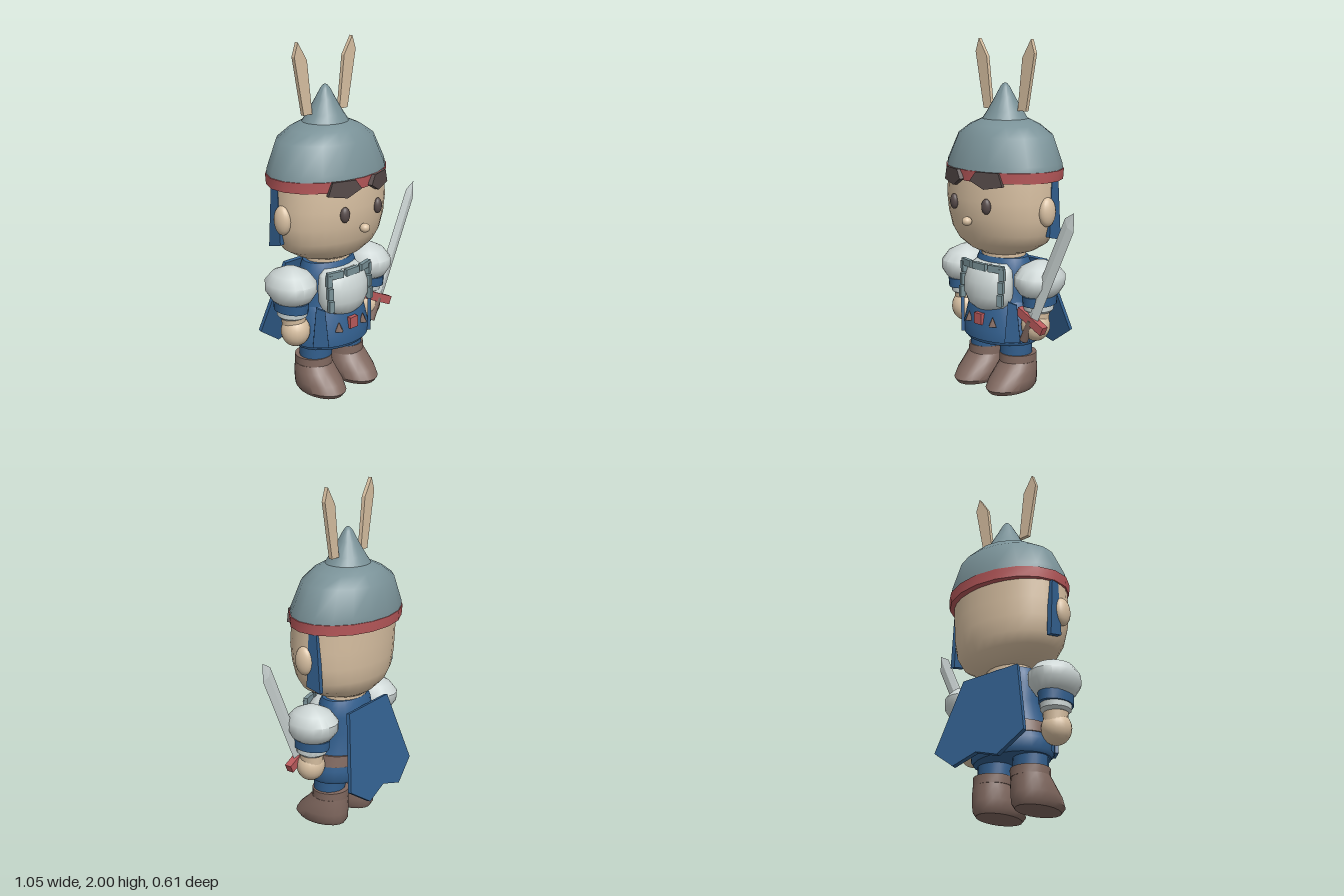
import * as THREE from 'three';
import { toCreasedNormals } from 'three/addons/utils/BufferGeometryUtils.js';

const material = (name, color) => {
  const m = new THREE.MeshStandardMaterial({ color });
  m.name = name;
  return m;
};

export function createModel() {
  const skin = material('skin', 0xd8c0a2);
  const steel = material('steel', 0x7a9298);
  const pale = material('pale metal', 0xccd5d4);
  const blue = material('blue cloth', 0x325f8e);
  const brown = material('brown leather', 0x80685f);
  const dark = material('dark brown', 0x574b4a);
  const red = material('red trim', 0xb9595b);

  const model = new THREE.Group();
  model.name = 'littleKnight';
  const body = new THREE.Group();
  body.name = 'body';
  body.position.x = -0.1;
  model.add(body);

  function add(name, geometry, mat, x = 0, y = 0, z = 0) {
    const mesh = new THREE.Mesh(geometry, mat);
    mesh.name = name;
    mesh.position.set(x, y, z);
    body.add(mesh);
    return mesh;
  }

  // Closed loft through oval rings: [y, half width, front z, back z]
  function loft(rings, sides = 20) {
    const pos = [], index = [], n = rings.length;
    for (const [y, rx, zf, zb] of rings) {
      for (let j = 0; j < sides; j++) {
        const a = (j / sides) * Math.PI * 2;
        pos.push(rx * Math.sin(a), y, (zf + zb) / 2 + ((zf - zb) / 2) * Math.cos(a));
      }
    }
    for (let i = 0; i < n - 1; i++) {
      for (let j = 0; j < sides; j++) {
        const a = i * sides + j, b = i * sides + ((j + 1) % sides);
        index.push(a, b, b + sides, a, b + sides, a + sides);
      }
    }
    const low = pos.length / 3, last = (n - 1) * sides;
    for (const r of [rings[0], rings[n - 1]]) pos.push(0, r[0], (r[2] + r[3]) / 2);
    for (let j = 0; j < sides; j++) {
      const k = (j + 1) % sides;
      index.push(low, k, j, low + 1, last + j, last + k);
    }
    const g = new THREE.BufferGeometry();
    g.setAttribute('position', new THREE.Float32BufferAttribute(pos, 3));
    g.setIndex(index);
    return toCreasedNormals(g, 0.75);
  }

  // Flat plate from an outline, centred on its thickness
  function plate(points, depth) {
    const shape = new THREE.Shape(points.map(([x, y]) => new THREE.Vector2(x, y)));
    return new THREE.ExtrudeGeometry(shape, { depth, bevelEnabled: false }).translate(0, 0, -depth / 2);
  }

  const ball = (rx, ry, rz) => new THREE.SphereGeometry(1, 20, 14).scale(rx, ry, rz);
  const box = (w, h, d) => new THREE.BoxGeometry(w, h, d);

  // Head
  add('head', loft([
    [0.795, 0.14, 0.11, -0.14], [0.82, 0.215, 0.155, -0.175], [0.868, 0.297, 0.2, -0.22],
    [0.93, 0.335, 0.23, -0.245], [1.02, 0.355, 0.25, -0.257], [1.12, 0.36, 0.262, -0.263],
    [1.26, 0.36, 0.25, -0.268],
  ], 28), skin);
  add('neck', loft([[0.74, 0.14, 0.1, -0.13], [0.81, 0.14, 0.1, -0.13]]), skin);
  add('nose', ball(0.029, 0.026, 0.028), skin, 0, 1.005, 0.275);

  // Helmet with peak and headband
  add('helmet', loft([
    [1.28, 0.374, 0.266, -0.305], [1.32, 0.368, 0.258, -0.302], [1.47, 0.3, 0.206, -0.268],
    [1.525, 0.215, 0.155, -0.215], [1.557, 0.14, 0.1, -0.16],
  ], 18), steel);
  add('helmetPeak', loft([
    [1.55, 0.14, 0.1, -0.161], [1.6, 0.105, 0.07, -0.13], [1.68, 0.058, 0.025, -0.085],
    [1.735, 0.028, -0.004, -0.056], [1.752, 0.014, -0.017, -0.043], [1.757, 0.003, -0.027, -0.033],
  ]), steel);
  add('headband', loft([[1.23, 0.374, 0.266, -0.305], [1.29, 0.379, 0.27, -0.309]], 18), red);

  // Tunic, belt and front apron
  add('tunic', loft([
    [0.28, 0.23, 0.175, -0.17], [0.3, 0.242, 0.185, -0.182], [0.36, 0.24, 0.186, -0.184],
    [0.46, 0.21, 0.165, -0.175], [0.58, 0.185, 0.14, -0.16], [0.68, 0.19, 0.13, -0.155],
    [0.74, 0.18, 0.115, -0.145], [0.775, 0.165, 0.1, -0.13],
  ], 24), blue);
  add('belt', loft([[0.39, 0.237, 0.17, -0.188], [0.455, 0.223, 0.165, -0.185]], 24), brown);
  const apronProfile = [[0.248, 0.3], [0.25, 0.36], [0.215, 0.5], [0.19, 0.53]]
    .map(([r, y]) => new THREE.Vector2(r, y));
  const apronBlue = blue.clone();
  apronBlue.name = 'blue apron cloth';
  apronBlue.side = THREE.DoubleSide;
  add('apron', new THREE.LatheGeometry(apronProfile, 16, -1.45, 2.9).scale(1, 1, 0.77), apronBlue);
  add('buckle', box(0.06, 0.065, 0.03), red, 0, 0.425, 0.183);
  for (const s of [-1, 1]) {
    add('beltPouch', new THREE.ConeGeometry(0.03, 0.055, 4), brown, s * 0.096, 0.42, 0.172);
    const tasset = add('tasset', plate([[-0.04, -0.12], [0.05, -0.12], [0.03, 0.1], [-0.02, 0.12]], 0.02), blue, s * 0.2, 0.43, 0.125);
    tasset.rotation.y = s * 0.75;
  }

  // Breastplate and its segmented trim
  add('breastplate', loft([
    [0.475, 0.1, 0.17, 0], [0.5, 0.145, 0.195, 0], [0.56, 0.168, 0.215, 0], [0.64, 0.17, 0.212, 0],
    [0.71, 0.155, 0.185, 0], [0.745, 0.12, 0.15, 0],
  ]), pale);
  for (const s of [-1, 1]) {
    for (let i = 0; i < 3; i++) {
      const strip = add('sideTrim', box(0.03, 0.066, 0.03), steel, s * 0.155, 0.555 + i * 0.073, 0.17 - i * 0.008);
      strip.rotation.y = s * 0.35;
    }
  }
  for (const i of [-1, 0, 1]) {
    const strip = add('topTrim', box(0.1, 0.04, 0.025), steel, i * 0.118, 0.73, 0.177 - Math.abs(i) * 0.015);
    strip.rotation.y = i * 0.25;
  }

  for (const s of [-1, 1]) {
    const side = s < 0 ? 'right' : 'left';

    // Face
    add(side + 'Eye', ball(0.028, 0.044, 0.022), dark, s * 0.128, 1.1, 0.25).rotation.y = s * 0.25;
    add(side + 'Ear', ball(0.04, 0.083, 0.056), skin, s * 0.357, 1.067, 0.005);
    const brow = add(side + 'Brow', plate([
      [0.1, 1.215], [0.075, 1.29], [-0.063, 1.29], [-0.1, 1.24], [-0.015, 1.195],
    ].map(([x, y]) => [x * s, y]), 0.025), dark, s * 0.13, 0, 0.247);
    brow.rotation.y = s * 0.32;

    // Helmet ribbon and feather
    const ribbon = add(side + 'Ribbon', plate([[0.03, 1.25], [0.08, 1.26], [0.105, 0.895], [0.012, 0.92]], 0.028), blue, s * 0.347);
    ribbon.rotation.y = Math.PI / 2;
    add(side + 'Feather', plate([
      [0.104, 1.605], [0.167, 1.605], [0.23, 1.925], [0.204, 2], [0.14, 1.9],
    ].map(([x, y]) => [x * s, y]), 0.022), skin, 0, 0, -0.034);

    // Arm
    add(side + 'ShoulderPuff', loft([
      [0.575, 0.075, 0.085, -0.085], [0.6, 0.105, 0.125, -0.12], [0.65, 0.135, 0.157, -0.157],
      [0.7, 0.134, 0.155, -0.16], [0.75, 0.1, 0.11, -0.115], [0.785, 0.03, 0.035, -0.035],
    ]), pale, s * 0.299);
    add(side + 'ArmBand', loft([[0.535, 0.082, 0.115, -0.11], [0.59, 0.084, 0.12, -0.115]]), blue, s * 0.303);
    add(side + 'Cuff', loft([
      [0.49, 0.065, 0.07, -0.065], [0.505, 0.08, 0.095, -0.085], [0.54, 0.08, 0.1, -0.09],
    ]), pale, s * 0.298);
    add(side + 'Forearm', loft([[0.4, 0.06, 0.075, -0.055], [0.5, 0.07, 0.08, -0.06]]), skin, s * 0.292);
    add(side + 'Hand', ball(0.083, 0.09, 0.082), skin, s * 0.288, 0.41, 0.02);

    // Leg and boot
    add(side + 'Leg', loft([[0.19, 0.095, 0.1, -0.082], [0.32, 0.1, 0.1, -0.085]]), blue, s * 0.122);
    add(side + 'Boot', loft([
      [0.003, 0.1, 0.21, -0.1], [0.03, 0.12, 0.23, -0.115], [0.075, 0.122, 0.2, -0.116],
      [0.13, 0.115, 0.14, -0.114], [0.17, 0.105, 0.105, -0.11],
    ]), brown, s * 0.132);
    add(side + 'BootCuff', loft([[0.165, 0.107, 0.107, -0.112], [0.215, 0.107, 0.105, -0.112]]), brown, s * 0.128);
  }

  // Cape hanging off the back
  const capeTilt = 0.225;
  const cape = add('cape', plate([
    [-0.19, 0], [0.19, 0], [0.305, -0.43], [0.15, -0.54], [0, -0.49], [-0.15, -0.54], [-0.305, -0.43],
  ], 0.022), blue, 0, 0.74, -0.172);
  cape.rotation.x = capeTilt;

  // Sword: ridged blade between an outline and a raised centre line
  const outline = [[-0.042, 0], [0.042, 0], [0.042, 0.625], [0, 0.72], [-0.042, 0.66]];
  const tris = [];
  for (const f of [1, -1]) {
    const ridge = [[0, 0, 0.016 * f], [0, 0.63, 0.012 * f]];
    const o = outline.map(([x, y]) => [x, y, 0]);
    const faces = [
      [ridge[0], o[1], o[2]], [ridge[0], o[2], ridge[1]], [ridge[1], o[2], o[3]],
      [ridge[1], o[3], o[4]], [ridge[1], o[4], ridge[0]], [ridge[0], o[4], o[0]],
    ];
    for (const t of faces) tris.push(...(f > 0 ? t : [...t].reverse()).flat());
  }
  const bladeGeometry = new THREE.BufferGeometry();
  bladeGeometry.setAttribute('position', new THREE.Float32BufferAttribute(tris, 3));
  bladeGeometry.computeVertexNormals();
  const sword = new THREE.Group();
  sword.name = 'sword';
  sword.position.set(0.215, 0.455, 0.083);
  sword.rotation.z = -0.435;
  const blade = new THREE.Mesh(bladeGeometry, pale);
  blade.name = 'blade';
  const guard = new THREE.Mesh(box(0.205, 0.05, 0.042), red);
  guard.name = 'guard';
  const handle = new THREE.Mesh(new THREE.CylinderGeometry(0.025, 0.025, 0.14, 10), brown);
  handle.name = 'handle';
  handle.position.y = -0.07;
  sword.add(blade, guard, handle);
  model.add(sword);

  return model;
}
